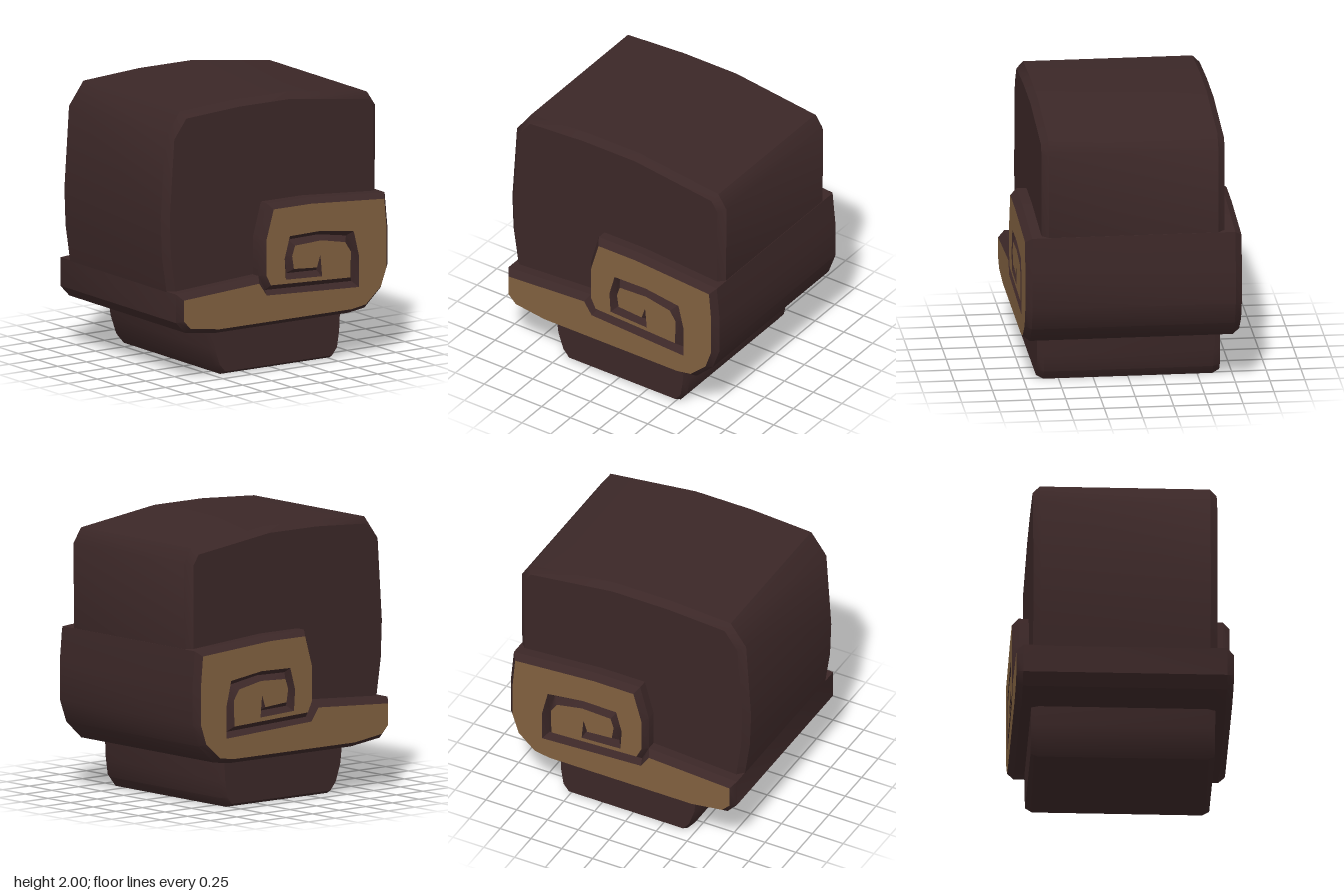
import * as THREE from 'three';
import { toCreasedNormals } from 'three/addons/utils/BufferGeometryUtils.js';

const dark = new THREE.MeshStandardMaterial({ color: 0x3b2727 });
dark.name = 'dark brown';
const tan = new THREE.MeshStandardMaterial({ color: 0x80603f });
tan.name = 'tan';

// Scroll outline, counter-clockwise: face x, face y, bevel foot x, bevel foot y.
// The curl doubles back on itself, leaving a V-shaped groove.
const SCROLL = [
  [-0.86, 0.625, -0.895, 0.665], [-0.86, 0.47, -0.895, 0.455], [-0.8, 0.41, -0.82, 0.375],
  [-0.55, 0.375, -0.55, 0.34], [0.6, 0.375, 0.6, 0.34], [0.72, 0.395, 0.74, 0.36],
  [0.85, 0.51, 0.88, 0.49], [0.9, 0.655, 0.94, 0.655], [0.9, 0.925, 0.94, 0.925],
  [0.88, 1.15, 0.915, 1.185], [0.245, 1.195, 0.245, 1.235], [-0.08, 1.195, -0.11, 1.235],
  [-0.145, 0.97, -0.18, 0.98], [-0.145, 0.72, -0.18, 0.71],
  // groove, inward along its inner edge
  [-0.105, 0.64, -0.125, 0.6], [0.585, 0.61, 0.625, 0.57], [0.59, 0.8, 0.625, 0.8],
  [0.54, 0.875, 0.58, 0.91], [0.335, 0.915, 0.335, 0.95], [0.105, 0.905, 0.075, 0.945],
  [0.08, 0.83, 0.045, 0.83], [0.095, 0.735, 0.06, 0.7], [0.295, 0.72, 0.32, 0.69],
  [0.325, 0.81, 0.323, 0.77],
  // and back out along its outer edge
  [0.34, 0.65, 0.32, 0.69], [0.025, 0.665, 0.06, 0.7], [0.015, 0.82, 0.045, 0.83],
  [0.06, 0.98, 0.075, 0.945], [0.33, 0.985, 0.335, 0.95], [0.615, 0.945, 0.58, 0.91],
  [0.66, 0.76, 0.625, 0.8], [0.66, 0.53, 0.625, 0.57], [-0.14, 0.57, -0.125, 0.6],
  [-0.205, 0.665, -0.18, 0.71],
];

const HEAD = [
  [-0.87, 0.5], [0.8, 0.5], [0.91, 0.7], [0.915, 1.805], [0.845, 1.91], [0.155, 2],
  [-0.295, 2], [-0.78, 1.97], [-0.905, 1.8], [-0.945, 1.2], [-0.935, 0.93], [-0.895, 0.66],
];

const BASE = [
  [-0.56, 0.4], [-0.535, 0.2], [-0.49, 0.07], [-0.43, 0],
  [0.52, 0], [0.575, 0.07], [0.595, 0.2], [0.605, 0.4],
];

// Moves every edge of a counter-clockwise outline inward by d
function inset(points, d) {
  const n = points.length;
  const normal = (a, b) => new THREE.Vector2(a[1] - b[1], b[0] - a[0]).normalize();
  return points.map((p, i) => {
    const n1 = normal(points[(i + n - 1) % n], p);
    const n2 = normal(p, points[(i + 1) % n]);
    const s = d / (1 + n1.dot(n2));
    return [p[0] + (n1.x + n2.x) * s, p[1] + (n1.y + n2.y) * s];
  });
}

function geometry(positions) {
  const g = new THREE.BufferGeometry();
  g.setAttribute('position', new THREE.Float32BufferAttribute(positions, 3));
  g.computeVertexNormals();
  return toCreasedNormals(g, 0.65);
}

// Block along z, bevelled at both ends: side walls plus the two flat faces
function bevelledBlock(name, outer, face, depth, bevel, faceMaterial) {
  const rings = [
    [face, -depth], [outer, -depth + bevel], [outer, depth - bevel], [face, depth],
  ];
  const sides = [];
  for (let k = 0; k < 3; k++) {
    const [lo, z0] = rings[k];
    const [hi, z1] = rings[k + 1];
    for (let i = 0; i < outer.length; i++) {
      const j = (i + 1) % outer.length;
      const a = [...lo[i], z0], b = [...lo[j], z0], c = [...hi[j], z1], d = [...hi[i], z1];
      sides.push(...a, ...b, ...c, ...a, ...c, ...d);
    }
  }
  const caps = [];
  const contour = face.map(([x, y]) => new THREE.Vector2(x, y));
  for (const [a, b, c] of THREE.ShapeUtils.triangulateShape(contour, [])) {
    for (const i of [a, b, c]) caps.push(...face[i], depth);
    for (const i of [a, c, b]) caps.push(...face[i], -depth);
  }
  const group = new THREE.Group();
  group.name = name;
  const wall = new THREE.Mesh(geometry(sides), dark);
  wall.name = name + 'Sides';
  const ends = new THREE.Mesh(geometry(caps), faceMaterial);
  ends.name = name + 'Faces';
  group.add(wall, ends);
  return group;
}

export function createModel() {
  const model = new THREE.Group();
  model.name = 'scrollBlock';
  model.add(
    bevelledBlock('head', HEAD, inset(HEAD, 0.045), 0.66, 0.05, dark),
    bevelledBlock('base', BASE, inset(BASE, 0.025), 0.66, 0.05, dark),
    bevelledBlock('scroll', SCROLL.map((p) => p.slice(2)), SCROLL.map((p) => p.slice(0, 2)), 0.78, 0.048, tan),
  );
  return model;
}
